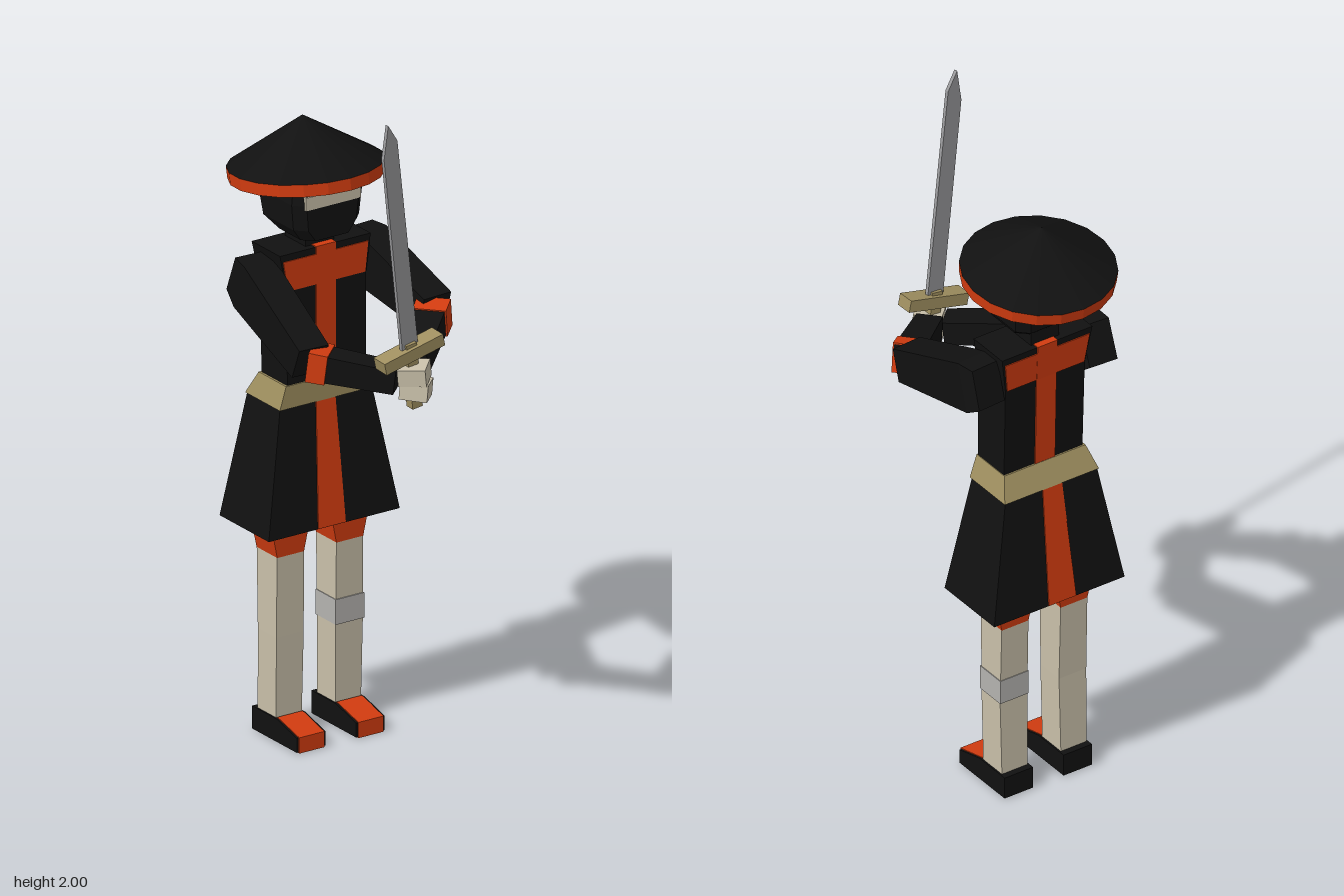
import * as THREE from 'three';

const mat = (color) => new THREE.MeshStandardMaterial({ color, flatShading: true });
const black = mat(0x111111), orange = mat(0xd23c10), tan = mat(0xa09060);
const beige = mat(0xc9c0aa), grey = mat(0xb5b3b0), steel = mat(0x9a9a9c), lining = mat(0x555555);

// Closed solid through rings of [x, y, z] points, lowest ring first, each counter-clockwise from above
function loft(rings) {
  const n = rings[0].length, last = (rings.length - 1) * n, index = [];
  for (let r = 0; r < rings.length - 1; r++) {
    for (let i = 0; i < n; i++) {
      const a = r * n + i, b = r * n + (i + 1) % n;
      index.push(a, b, b + n, a, b + n, a + n);
    }
  }
  for (let i = 1; i < n - 1; i++) index.push(0, i + 1, i, last, last + i, last + i + 1);
  const g = new THREE.BufferGeometry();
  g.setAttribute('position', new THREE.Float32BufferAttribute(rings.flat(2), 3));
  g.setIndex(index);
  const flat = g.toNonIndexed();
  flat.computeVertexNormals();
  return flat;
}

// Rectangular sections [y, x0, x1, z0, z1]; c cuts the corners to an octagon
const block = (sections, c = 0) => loft(sections.map(([y, x0, x1, z0, z1]) => (c
  ? [[x0 + c, y, z1], [x1 - c, y, z1], [x1, y, z1 - c], [x1, y, z0 + c],
    [x1 - c, y, z0], [x0 + c, y, z0], [x0, y, z0 + c], [x0, y, z1 - c]]
  : [[x0, y, z1], [x1, y, z1], [x1, y, z0], [x0, y, z0]])));

function add(parent, name, geometry, material) {
  const mesh = new THREE.Mesh(geometry, material);
  mesh.name = name;
  parent.add(mesh);
  return mesh;
}

// Limb from a to b; sections are [fraction of length, width, height]
function limb(parent, name, a, b, sections, material) {
  const from = new THREE.Vector3(...a), to = new THREE.Vector3(...b), len = from.distanceTo(to);
  const g = block(sections.map(([t, w, h]) => [t * len, -w / 2, w / 2, -h / 2, h / 2]));
  const mesh = add(parent, name, g.rotateX(Math.PI / 2), material);
  mesh.position.copy(from);
  mesh.lookAt(to);
}

function addLeg(model, x, side) {
  const leg = new THREE.Group();
  leg.name = side + 'Leg';
  leg.position.x = x;
  model.add(leg);
  add(leg, 'thigh', block([[0.55, -0.045, 0.045, -0.222, -0.122], [0.65, -0.066, 0.066, -0.225, -0.12]]), orange);
  add(leg, 'shin', block([[0.06, -0.043, 0.043, -0.22, -0.13], [0.31, -0.046, 0.046, -0.215, -0.125],
    [0.56, -0.045, 0.045, -0.222, -0.122]]), beige);
  if (side === 'left') {
    add(leg, 'kneePatch', block([[0.305, -0.048, 0.048, -0.219, -0.121], [0.38, -0.048, 0.048, -0.219, -0.121]]), grey);
  }
  // Shoe profile swept sideways, with a brighter toe panel
  const shoe = (w, pts) => {
    const s = new THREE.Shape(pts.map(([z, y]) => new THREE.Vector2(-z, y)));
    return new THREE.ExtrudeGeometry(s, { depth: w, bevelEnabled: false }).translate(0, 0, -w / 2).rotateY(Math.PI / 2);
  };
  add(leg, 'shoe', shoe(0.096, [[-0.022, 0.002], [-0.022, 0.045], [-0.12, 0.07], [-0.24, 0.07], [-0.24, 0.002]]), black);
  add(leg, 'toePanel', shoe(0.084, [[-0.018, 0], [-0.018, 0.047], [-0.125, 0.073], [-0.125, 0]]), orange);
}

function addArm(model, side, shoulder, elbow, wrist) {
  const arm = new THREE.Group();
  arm.name = side + 'Arm';
  model.add(arm);
  limb(arm, 'upperArm', shoulder, elbow, [[0, 0.09, 0.12], [0.15, 0.1, 0.15], [1, 0.095, 0.1]], black);
  limb(arm, 'forearm', elbow, wrist, [[0, 0.088, 0.08], [1, 0.075, 0.07]], black);
  limb(arm, 'elbowBand', elbow, wrist, [[0, 0.096, 0.088], [0.22, 0.094, 0.086]], orange);
}

function addSword(model) {
  const sword = new THREE.Group();
  sword.name = 'sword';
  sword.position.set(0.005, 1.12, 0.325);
  sword.rotation.set(0.043, 0, 0.135);
  model.add(sword);
  add(sword, 'grip', new THREE.BoxGeometry(0.034, 0.2, 0.03).translate(0, 0.1, 0), tan);
  const guard = add(sword, 'guard', new THREE.BoxGeometry(0.2, 0.036, 0.054), tan);
  guard.position.set(0, 0.172, 0);
  guard.rotation.z = 0.1;
  // Blade with an angled point
  const outline = [[-0.029, 0.18], [0.029, 0.18], [0.027, 0.83], [0, 0.887], [-0.027, 0.79]];
  const shape = new THREE.Shape(outline.map(([x, y]) => new THREE.Vector2(x, y)));
  const blade = add(sword, 'blade',
    new THREE.ExtrudeGeometry(shape, { depth: 0.011, bevelEnabled: false }).translate(0, 0, -0.0055), steel);
  blade.rotation.y = 0.12;
}

export function createModel() {
  const model = new THREE.Group();
  model.name = 'swordsman';

  // Robe: skirt, belt and jacket
  add(model, 'skirt', block([[0.635, -0.22, 0.22, -0.3, -0.06], [1, -0.155, 0.155, -0.26, -0.1]]), black);
  add(model, 'skirtLining', block([[0.633, -0.215, 0.215, -0.295, -0.065], [0.636, -0.215, 0.215, -0.295, -0.065]]), lining);
  add(model, 'skirtStripe', block([[0.637, -0.055, 0.037, -0.303, -0.057], [1, -0.035, 0.03, -0.263, -0.097]]), orange);
  add(model, 'belt', block([[1, -0.158, 0.16, -0.265, -0.096], [1.068, -0.137, 0.137, -0.23, -0.096]]), tan);
  add(model, 'jacket', block([[1.06, -0.13, 0.135, -0.225, -0.1], [1.35, -0.133, 0.135, -0.232, -0.1],
    [1.46, -0.155, 0.15, -0.238, -0.1]]), black);
  add(model, 'jacketStripe', block([[1.065, -0.035, 0.032, -0.229, -0.097], [1.35, -0.035, 0.032, -0.236, -0.097],
    [1.463, -0.035, 0.032, -0.242, -0.097]]), orange);
  add(model, 'chestBar', block([[1.35, -0.13, 0.13, -0.235, -0.097], [1.44, -0.145, 0.14, -0.24, -0.097]]), orange);

  // Neck, head and eye opening
  add(model, 'neck', block([[1.44, -0.055, 0.04, -0.22, -0.12], [1.53, -0.055, 0.04, -0.22, -0.12]]), black);
  add(model, 'head', block([[1.5, -0.095, 0.075, -0.22, -0.056], [1.535, -0.12, 0.1, -0.262, -0.055],
    [1.61, -0.126, 0.11, -0.276, -0.055], [1.69, -0.115, 0.095, -0.26, -0.06]], 0.03), black);
  add(model, 'eyeOpening', block([[1.598, -0.1, 0.085, -0.08, -0.052], [1.637, -0.1, 0.085, -0.08, -0.052]]), beige);

  // Tilted conical hat
  const hat = new THREE.Group();
  hat.name = 'hat';
  hat.position.set(-0.014, 1.684, -0.18);
  hat.rotation.x = -0.11;
  model.add(hat);
  const lathe = (pts) => new THREE.LatheGeometry(pts.map(([r, y]) => new THREE.Vector2(r, y)), 20);
  add(hat, 'hatTop', lathe([[0.221, 0], [0, 0.137]]), black);
  add(hat, 'hatRim', lathe([[0, 0.09], [0.212, -0.036], [0.219, -0.036], [0.221, 0]]), orange);

  addLeg(model, -0.104, 'right');
  addLeg(model, 0.095, 'left');

  addArm(model, 'left', [0.187, 1.385, -0.225], [0.21, 1.29, 0.125], [0.02, 1.23, 0.3]);
  addArm(model, 'right', [-0.187, 1.385, -0.225], [-0.208, 1.235, 0.125], [-0.04, 1.205, 0.305]);

  // Hands stacked on the grip
  for (const [name, y, x, tilt] of [['leftHand', 1.227, -0.008, 0.1], ['rightHand', 1.179, -0.002, -0.1]]) {
    const hand = add(model, name, new THREE.BoxGeometry(0.08, 0.05, 0.08).rotateY(Math.PI / 4), beige);
    hand.position.set(x, y, 0.341);
    hand.rotation.z = tilt;
  }

  addSword(model);
  return model;
}
